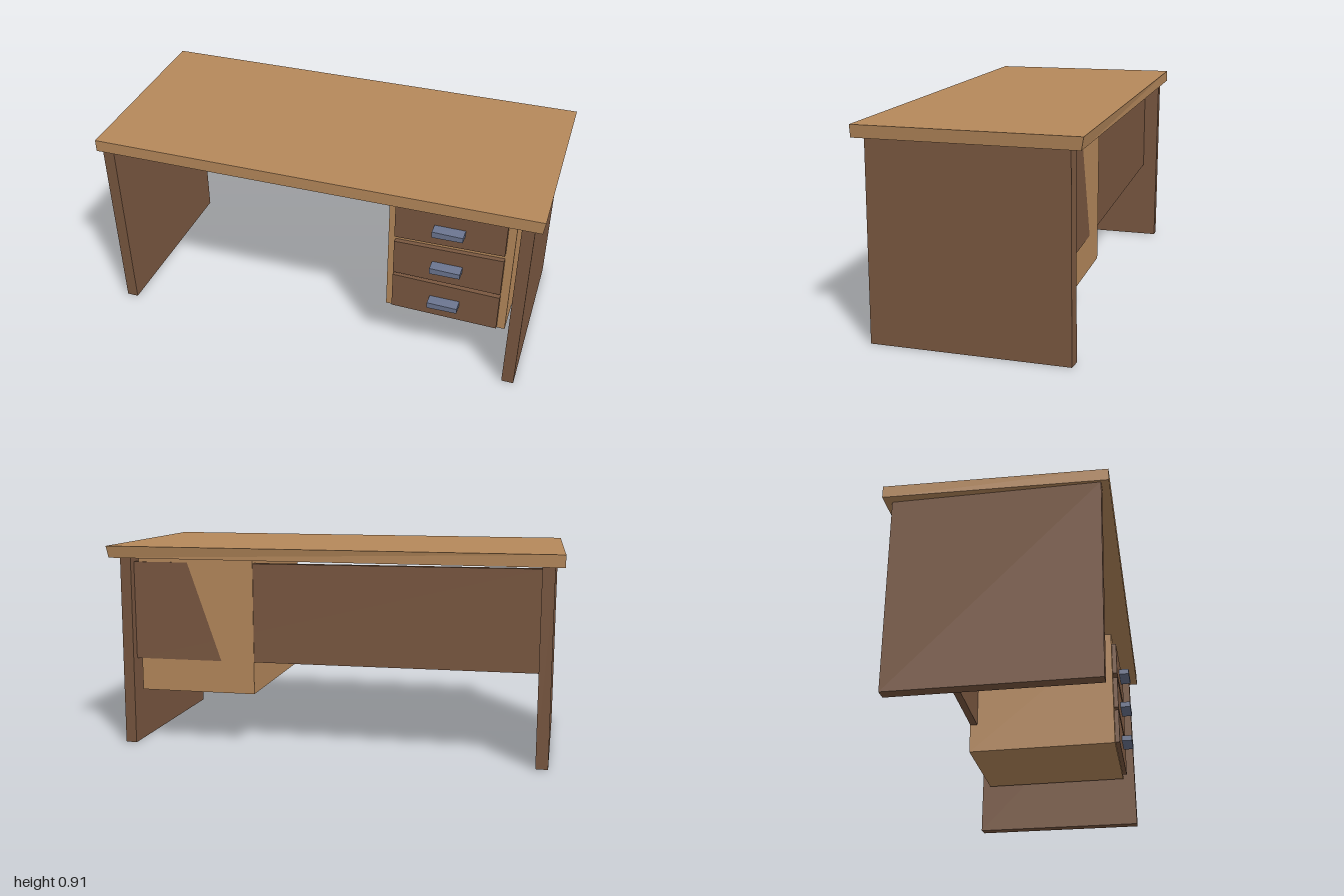
import * as THREE from 'three';

const paint = (name, color) => {
  const m = new THREE.MeshStandardMaterial({ color });
  m.name = name;
  return m;
};

// Box between [x0,x1], [y0,y1], [z0,z1]; warp(p, x, y, z) nudges each corner,
// where x, y, z are 0 or 1 and tell which corner is being moved.
function slab(name, material, [x0, x1], [y0, y1], [z0, z1], warp) {
  const geo = new THREE.BoxGeometry(1, 1, 1).toNonIndexed();
  const pos = geo.attributes.position;
  const p = new THREE.Vector3();
  for (let i = 0; i < pos.count; i++) {
    const x = pos.getX(i) > 0 ? 1 : 0;
    const y = pos.getY(i) > 0 ? 1 : 0;
    const z = pos.getZ(i) > 0 ? 1 : 0;
    p.set(x ? x1 : x0, y ? y1 : y0, z ? z1 : z0);
    if (warp) warp(p, x, y, z);
    pos.setXYZ(i, p.x, p.y, p.z);
  }
  geo.computeVertexNormals();
  const mesh = new THREE.Mesh(geo, material);
  mesh.name = name;
  return mesh;
}

export function createModel() {
  const desk = new THREE.Group();
  desk.name = 'desk';
  const lightWood = paint('light wood', 0xb5885b);
  const darkWood = paint('dark wood', 0x795740);
  const metal = paint('blue grey metal', 0x6b7590);

  // Tabletop, slightly out of square
  desk.add(slab('tabletop', lightWood, [-1, 1], [0.857, 0.91], [-0.46, 0.465], (p, x, y, z) => {
    if (!x && z) p.x = -0.97;
    if (x && z) p.z = 0.453;
    if (x && !z) p.z = y ? -0.468 : -0.458;
    if (x && !y) p.x = 0.993;
  }));

  // Side panels that carry the top
  desk.add(slab('leftLeg', darkWood, [0.907, 0.96], [0, 0.86], [-0.423, 0.42], (p, x, y, z) => {
    if (y) p.z += z ? -0.008 : 0.011;
    if (!x && !z) p.z -= 0.006;
  }));
  desk.add(slab('rightLeg', darkWood, [-0.96, -0.907], [0, 0.86], [-0.429, 0.42], (p, x, y, z) => {
    if (y && z) p.z = 0.433;
  }));

  // Drawer cabinet
  desk.add(slab('cabinet', lightWood, [0.347, 0.885], [0.252, 0.86], [-0.38, 0.358], (p, x, y, z) => {
    if (!y) p.y -= (x ? 0.004 : 0) + (z ? 0 : 0.005);
  }));

  // Modesty panel: its slanted back face emerges through the back of the cabinet
  desk.add(slab('backPanel', darkWood, [-0.91, 0.908], [0.397, 0.84], [-0.38, -0.345], (p, x, y, z) => {
    if (x) p.y -= 0.006;
    const seam = 0.5 + 0.345 * (p.y - 0.39);
    p.z -= 0.015 * (p.x - seam);
  }));

  // Drawers: bottom-left, bottom-right, top-left, top-right heights
  const drawers = [
    [0.647, 0.656, 0.814, 0.822],
    [0.456, 0.45, 0.622, 0.629],
    [0.267, 0.26, 0.441, 0.431],
  ];
  drawers.forEach((h, i) => {
    const drawer = new THREE.Group();
    drawer.name = 'drawer' + (i + 1);
    const mid = [0.733, 0.542, 0.352][i];
    drawer.add(slab('drawerFront', darkWood, [0.378, 0.85], [0, 1], [0.34, 0.38], (p, x, y) => {
      p.y = h[x + 2 * y];
    }));
    drawer.add(slab('handle', metal, [0.548, 0.68], [mid - 0.014, mid + 0.014], [0.37, 0.431], (p, x, y, z) => {
      if (x && z) p.y += y ? -0.003 : 0.002;
    }));
    desk.add(drawer);
  });
  return desk;
}
